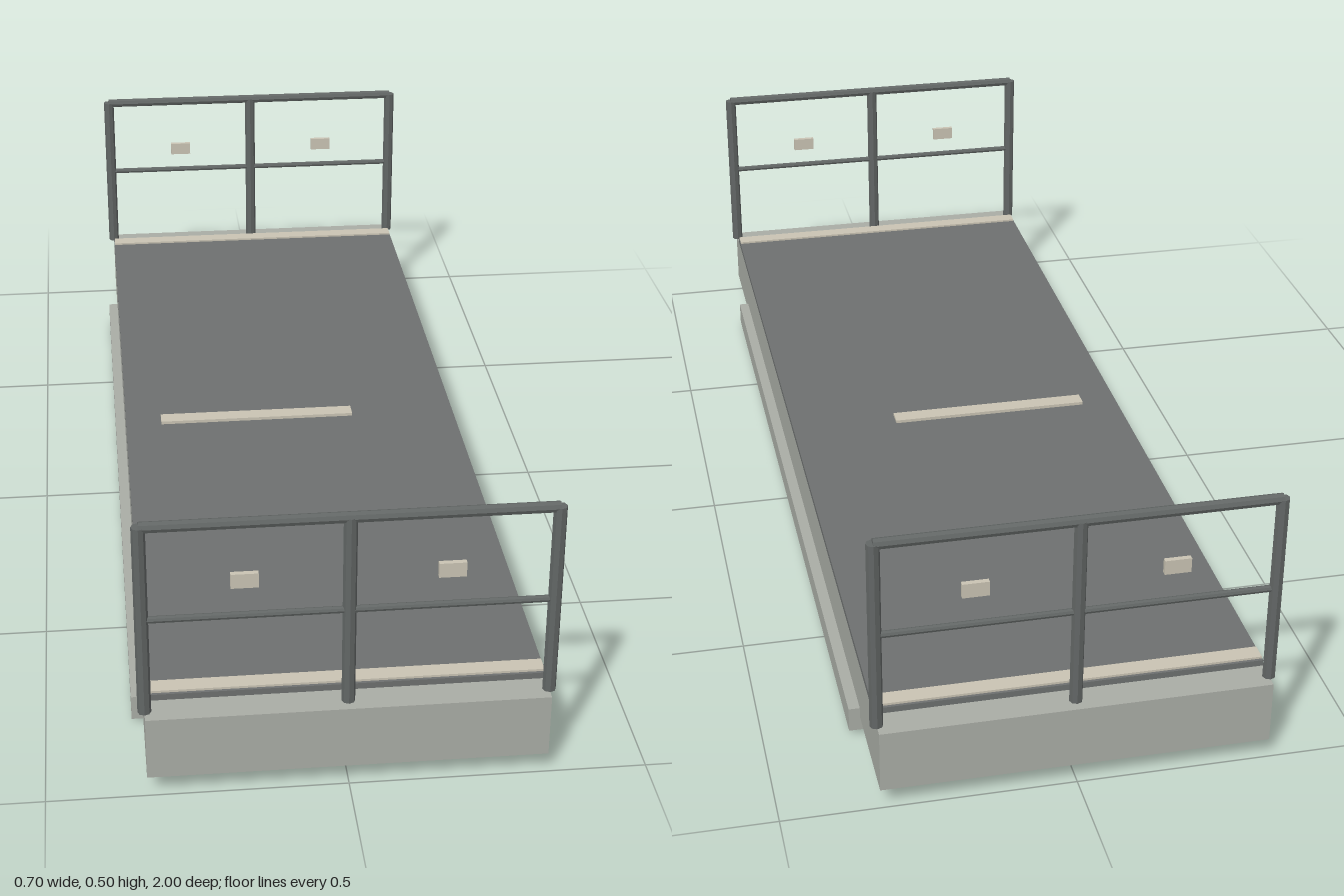
import * as THREE from 'three';

export function createModel() {
  const model = new THREE.Group();
  model.name = 'flatPlatform';
  const material = (name, color) => {
    const m = new THREE.MeshStandardMaterial({ color });
    m.name = name;
    return m;
  };
  const bodyGrey = material('bodyGrey', 0xa9aca5);
  const deckGrey = material('deckGrey', 0x6d706f);
  const railGrey = material('railGrey', 0x626665);
  railGrey.flatShading = true;
  const tan = material('tan', 0xc9c3b3);

  // Box given by its limits on each axis
  const box = (name, mat, [x0, x1], [y0, y1], [z0, z1], parent = model) => {
    const mesh = new THREE.Mesh(new THREE.BoxGeometry(x1 - x0, y1 - y0, z1 - z0), mat);
    mesh.position.set((x0 + x1) / 2, (y0 + y1) / 2, (z0 + z1) / 2);
    mesh.name = name;
    parent.add(mesh);
  };
  // Eight-sided bar, upright or lying along x
  const bar = (name, radius, length, x, y, alongX, parent) => {
    const geometry = new THREE.CylinderGeometry(radius, radius, length, 8);
    if (alongX) geometry.rotateZ(Math.PI / 2);
    const mesh = new THREE.Mesh(geometry, railGrey);
    mesh.position.set(x, y, 0);
    mesh.name = name;
    parent.add(mesh);
  };

  // Platform body and deck
  box('body', bodyGrey, [-0.333, 0.333], [0.037, 0.15], [-1, 1]);
  box('deck', deckGrey, [-0.333, 0.333], [0.15, 0.161], [-0.945, 0.945]);

  // Runners underneath, and the cross beams that carry them
  for (const x of [-0.333, 0, 0.333]) {
    box('runner', bodyGrey, [x - 0.0195, x + 0.0195], [0.011, 0.056], [-0.8, 0.8]);
  }
  for (const z of [-0.64, 0.64]) {
    box('crossBeam', bodyGrey, [-0.333, 0.333], [0.001, 0.037], [z - 0.023, z + 0.023]);
  }

  // Raised strips across the deck
  for (const z of [-0.925, 0.925]) {
    box('endStrip', tan, [-0.332, 0.332], [0.161, 0.165], [z - 0.015, z + 0.015]);
  }
  box('middleStrip', tan, [-0.262, 0.126], [0.161, 0.167], [-0.02, 0.012]);

  // Railing at each end, with two plates on its inner side
  for (const side of [-1, 1]) {
    const railing = new THREE.Group();
    railing.name = side > 0 ? 'frontRailing' : 'backRailing';
    railing.position.z = side * 0.974;
    for (const x of [-0.333, 0, 0.333]) bar('post', 0.0113, 0.348, x, 0.324, false, railing);
    bar('topRail', 0.0095, 0.666, 0, 0.4965, true, railing);
    bar('middleRail', 0.006, 0.65, 0, 0.326, true, railing);
    for (const x of [-0.167, 0.167]) {
      box('plate', tan, [x - 0.0225, x + 0.0225], [0.37, 0.396],
        side > 0 ? [-0.018, -0.009] : [0.009, 0.018], railing);
    }
    model.add(railing);
  }
  return model;
}
